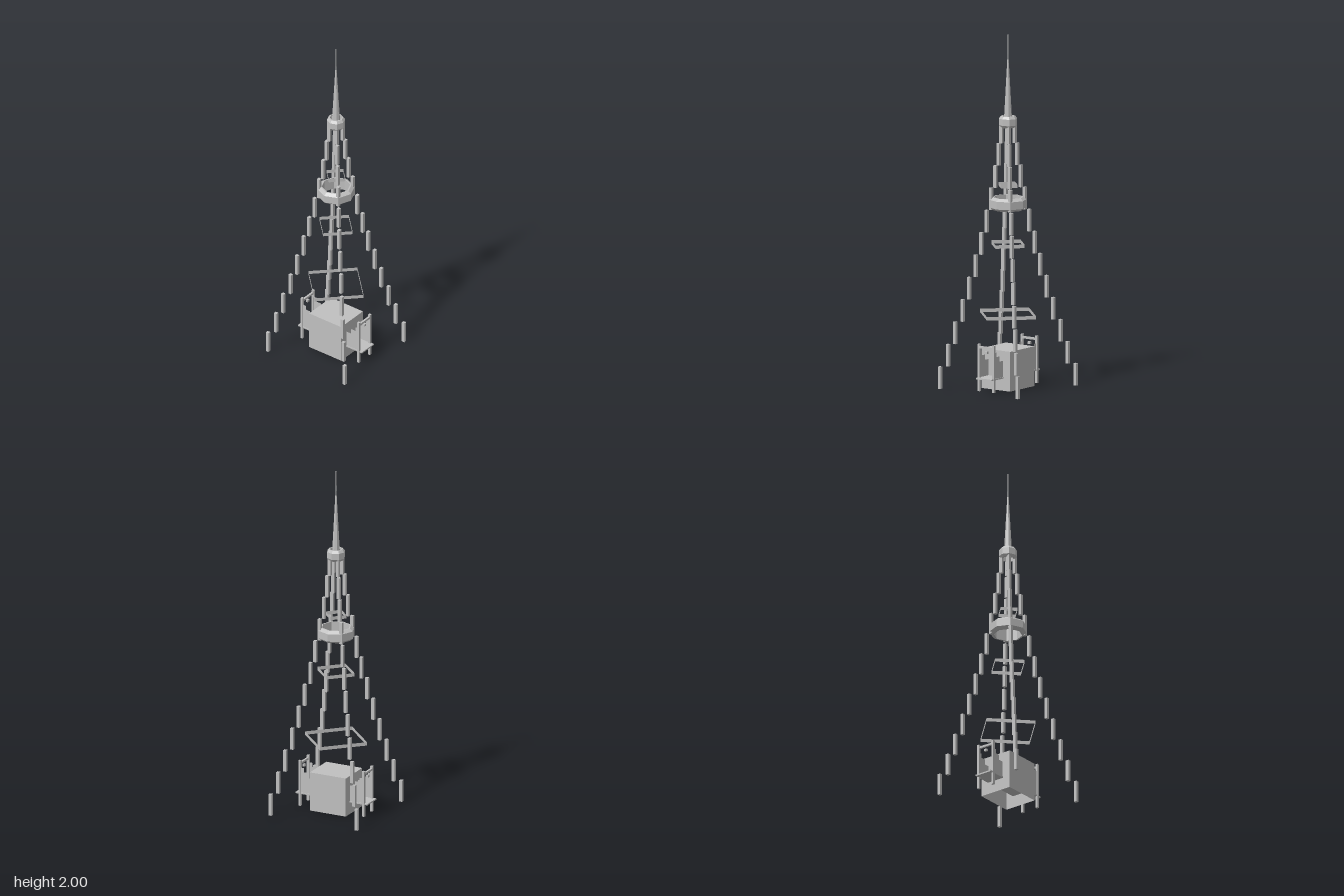
import * as THREE from 'three';

export function createModel() {
  const group = new THREE.Group();
  const stone = new THREE.MeshStandardMaterial({ color: 0xc0c0c0, flatShading: true, side: THREE.DoubleSide });
  stone.name = 'lightGrey';

  const add = (name, geometry, x = 0, y = 0, z = 0) => {
    const mesh = new THREE.Mesh(geometry, stone);
    mesh.name = name;
    mesh.position.set(x, y, z);
    group.add(mesh);
    return mesh;
  };
  const box = (name, w, h, d, x, y, z) => add(name, new THREE.BoxGeometry(w, h, d), x, y, z);

  // Four stepped legs that curve inwards as they rise
  const step = 0.126;
  const offsets = [0.271, 0.239, 0.21, 0.181, 0.155, 0.129, 0.106, 0.0855, 0.067, 0.05, 0.037, 0.026];
  offsets.forEach((o, i) => {
    for (const sx of [-1, 1]) {
      for (const sz of [-1, 1]) box('legPost', 0.018, step, 0.018, sx * o, (i + 0.5) * step, sz * o);
    }
  });

  // Thin diamond-shaped braces
  for (const [r, y] of [[0.195, 0.414], [0.117, 0.811], [0.066, 1.147]]) {
    add('braceFrame', new THREE.CylinderGeometry(r, r, 0.02, 4, 1, true), 0, y, 0);
  }

  // Eight-sided platforms with bevelled outer edges
  const platform = (name, inner, outer, crest, bottom, top) => {
    const bevel = 0.014;
    const profile = [
      [inner, bottom], [crest, bottom], [outer, bottom + bevel],
      [outer, top - bevel], [crest, top], [inner, top], [inner, bottom],
    ].map(([x, y]) => new THREE.Vector2(x, y));
    add(name, new THREE.LatheGeometry(profile, 8));
  };
  platform('middlePlatform', 0.08, 0.106, 0.088, 1.008, 1.08);
  platform('upperPlatform', 0.034, 0.052, 0.041, 1.475, 1.54);

  // Spire and its needle
  add('spire', new THREE.CylinderGeometry(0.002, 0.024, 0.4, 8), 0, 1.7, 0);
  add('needle', new THREE.CylinderGeometry(0.002, 0.003, 0.14, 6), 0, 1.93, 0);

  // Central block, open underneath
  const shell = new THREE.BoxGeometry(0.226, 0.226, 0.2);
  const index = Array.from(shell.index.array);
  index.splice(18, 6);
  shell.setIndex(index);
  shell.clearGroups();
  add('centralBlock', shell, 0, 0.113, 0);

  // Floor running through the block to both side porches
  box('porchFloor', 0.452, 0.008, 0.108, 0, 0.074, 0);

  // Stepped side panels, posts and lintel of each porch
  for (const s of [-1, 1]) {
    const panel = new THREE.Shape([
      [0.113, 0.07], [0.2, 0.07], [0.2, 0.225], [0.175, 0.225], [0.175, 0.2],
      [0.145, 0.2], [0.145, 0.17], [0.113, 0.17],
    ].map(([x, y]) => new THREE.Vector2(s * x, y)));
    for (const z of [-0.05, 0.05]) {
      add('porchPanel', new THREE.ShapeGeometry(panel), 0, 0, z);
      box('porchPost', 0.014, 0.268, 0.014, s * 0.2, 0.134, z);
    }
    box('porchLintel', 0.012, 0.012, 0.1, s * 0.2, 0.25, 0);
    box('porchLamp', 0.012, 0.014, 0.016, s * 0.2, 0.224, 0);
  }

  return group;
}
